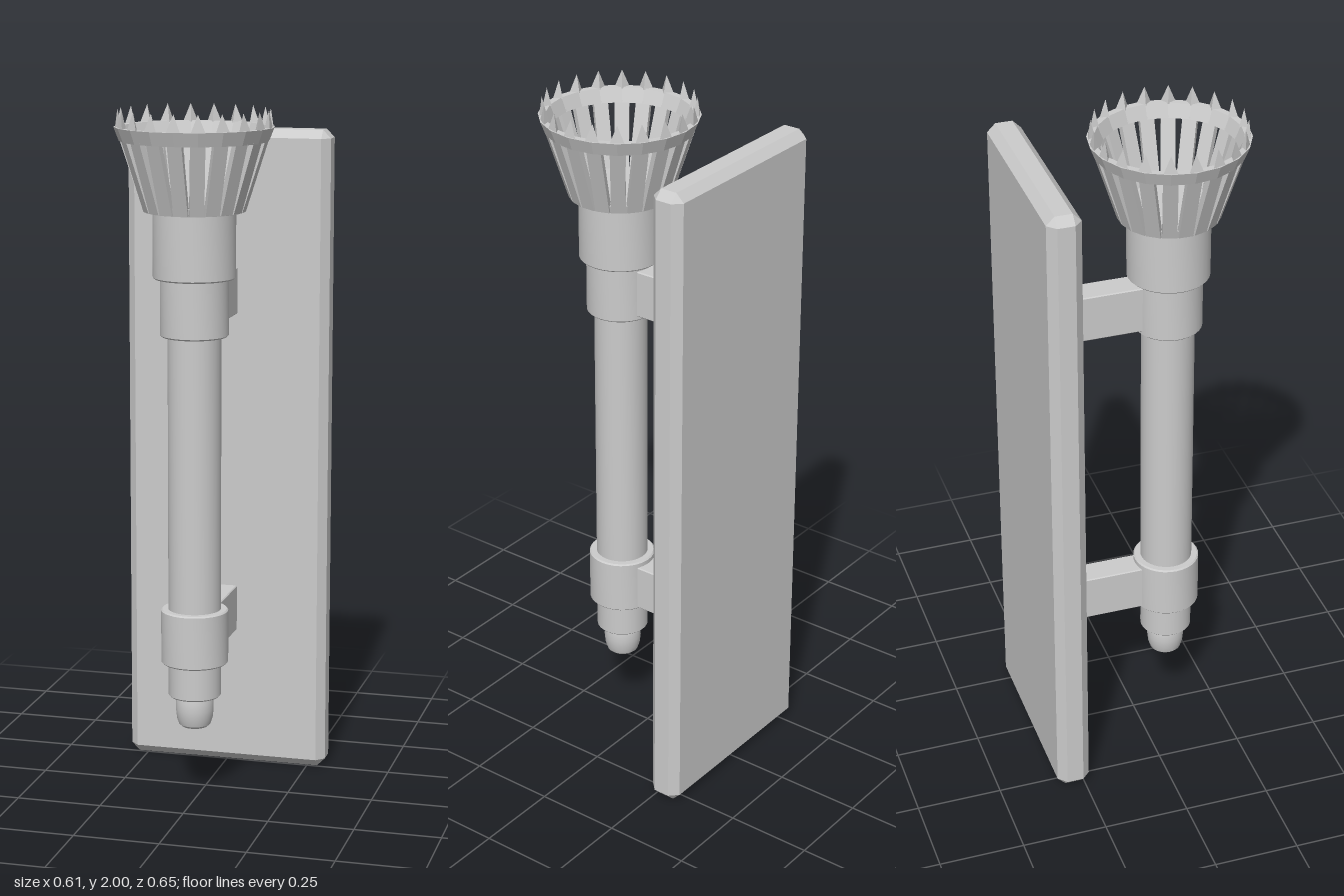
import * as THREE from 'three';
import { ConvexGeometry } from 'three/addons/geometries/ConvexGeometry.js';
import { toCreasedNormals } from 'three/addons/utils/BufferGeometryUtils.js';

const smooth = new THREE.MeshStandardMaterial({ color: 0xcccccc });
const faceted = new THREE.MeshStandardMaterial({ color: 0xcccccc, flatShading: true });
const AXIS_X = -0.006, AXIS_Z = 0.1, COUNT = 20;

function add(parent, name, geometry, material = faceted) {
  const mesh = new THREE.Mesh(geometry, material);
  mesh.name = name;
  parent.add(mesh);
  return mesh;
}

// Turned part from [radius, height] pairs, listed from bottom to top
function turned(points, segments = 32) {
  const profile = points.map(([r, y]) => new THREE.Vector2(r, y));
  return toCreasedNormals(new THREE.LatheGeometry(profile, segments), 0.5);
}

// Solid cylinder with a tiny chamfer on both rims
function drum(radius, y0, y1, c = 0.004) {
  return turned([[0, y0], [radius - c, y0], [radius, y0 + c], [radius, y1 - c], [radius - c, y1], [0, y1]]);
}

// Box with every edge chamfered
function chamferedBox(w, h, d, c) {
  const points = [];
  for (const x of [-1, 1]) for (const y of [-1, 1]) for (const z of [-1, 1]) {
    const a = w / 2, b = h / 2, e = d / 2;
    points.push(
      new THREE.Vector3(x * a, y * (b - c), z * (e - c)),
      new THREE.Vector3(x * (a - c), y * b, z * (e - c)),
      new THREE.Vector3(x * (a - c), y * (b - c), z * e));
  }
  return new ConvexGeometry(points);
}

// Upright bar leaning outwards by a shear
function leaningBar(width, y0, y1, r0, r1, depth) {
  const g = new THREE.BoxGeometry(width, y1 - y0, depth);
  const p = g.attributes.position;
  for (let i = 0; i < p.count; i++) {
    const t = p.getY(i) / (y1 - y0) + 0.5;
    p.setZ(i, p.getZ(i) + r0 + (r1 - r0) * t);
  }
  g.translate(0, (y0 + y1) / 2, 0);
  return g;
}

export function createModel() {
  const model = new THREE.Group();
  model.name = 'wallTorch';

  // Wall plate
  add(model, 'wallPlate', chamferedBox(0.608, 1.918, 0.097, 0.024)).position.set(0, 0.959, -0.2815);

  // Arms joining the collars to the plate
  for (const [name, y] of [['lowerArm', 0.484], ['upperArm', 1.447]]) {
    add(model, name, chamferedBox(0.08, 0.138, 0.3, 0.003)).position.set(AXIS_X, y, -0.1);
  }

  // Torch shaft, collars and cup
  const torch = new THREE.Group();
  torch.name = 'torch';
  torch.position.set(AXIS_X, 0, AXIS_Z);
  model.add(torch);
  add(torch, 'shaft', drum(0.076, 0.31, 1.5), smooth);
  add(torch, 'lowerCollar', drum(0.097, 0.41, 0.57), smooth);
  add(torch, 'upperCollar', drum(0.097, 1.364, 1.54), smooth);
  add(torch, 'cup', drum(0.117, 1.528, 1.722), smooth);
  add(torch, 'endKnob', turned([[0, 0.217], [0.038, 0.218], [0.046, 0.225], [0.052, 0.243],
    [0.055, 0.27], [0.054, 0.295], [0.05, 0.315]]), smooth);

  // Basket: floor, slats, rim and a crown of spikes
  const basket = new THREE.Group();
  basket.name = 'basket';
  torch.add(basket);
  add(basket, 'basketFloor', turned([[0, 1.715], [0.139, 1.715], [0.146, 1.738], [0, 1.738]], COUNT));
  add(basket, 'wickSeat', drum(0.061, 1.73, 1.74, 0.001), smooth);
  add(basket, 'rim', turned([[0.188, 1.912], [0.209, 1.912], [0.224, 1.951],
    [0.204, 1.951], [0.188, 1.912]], COUNT));

  const slat = leaningBar(0.041, 1.717, 1.918, 0.134, 0.199, 0.018);
  const spike = new THREE.ConeGeometry(0.024, 0.052, 3);
  spike.rotateY(Math.PI).scale(1, 1, 0.55).translate(0, 1.974, 0.2124);
  for (let i = 0; i < COUNT; i++) {
    const angle = (i / COUNT) * Math.PI * 2;
    add(basket, 'slat', slat).rotation.y = angle;
    add(basket, 'spike', spike).rotation.y = angle;
  }
  return model;
}
